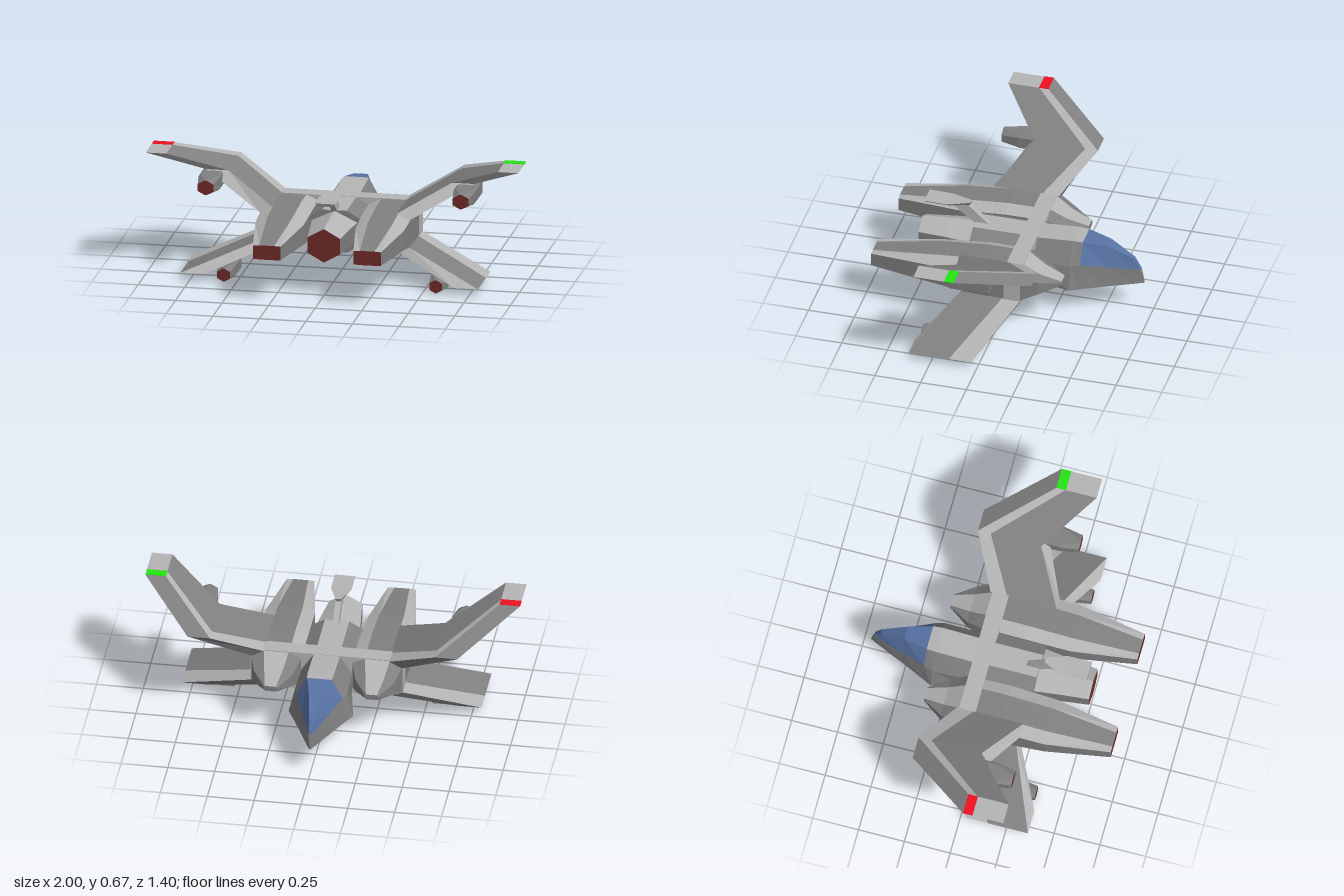
import * as THREE from 'three';

const mat = (color) => new THREE.MeshStandardMaterial({ color, flatShading: true, side: THREE.DoubleSide });
const dark = mat(0x808080), light = mat(0xb4b4b4), exhaust = mat(0x6e2a25), glass = mat(0x5872a4);
const lampRed = mat(0xee1122), lampGreen = mat(0x22e611);

// Closed faceted solid through rings of [x, y, z] points, wound outwards.
// The sides listed in trim are light panels; end is the material of the last cap.
function loft(name, rings, { base = dark, trim = [], end = base } = {}) {
  const n = rings[0].length, last = rings[rings.length - 1], panels = new Map();
  const add = (material, ...tris) => panels.set(material, [...(panels.get(material) ?? []), ...tris]);
  for (let r = 0; r + 1 < rings.length; r++) {
    for (let i = 0; i < n; i++) {
      const j = (i + 1) % n, a = rings[r], b = rings[r + 1];
      add(trim.includes(i) ? light : base, [a[i], a[j], b[j]], [a[i], b[j], b[i]]);
    }
  }
  for (let i = 1; i + 1 < n; i++) {
    add(base, [rings[0][0], rings[0][i + 1], rings[0][i]]);
    add(end, [last[0], last[i], last[i + 1]]);
  }
  let volume = 0;
  for (const tri of [...panels.values()].flat()) {
    const [a, b, c] = tri.map((p) => new THREE.Vector3(...p));
    volume += a.dot(b.cross(c));
  }
  const part = new THREE.Group();
  part.name = name;
  for (const [material, tris] of panels) {
    const pos = tris.flatMap(([a, b, c]) => (volume < 0 ? [a, c, b] : [a, b, c])).flat();
    const geo = new THREE.BufferGeometry();
    geo.setAttribute('position', new THREE.Float32BufferAttribute(pos, 3));
    geo.computeVertexNormals();
    const mesh = new THREE.Mesh(geo, material);
    mesh.name = name + (material === light ? 'Trim' : material === exhaust ? 'Exhaust' : 'Panels');
    part.add(mesh);
  }
  return part;
}

// Eight-sided section: half width, half flat width, bottom, top, chamfer height
const octagon = (cx, z, w, f, y0, y1, c) => [
  [cx - f, y1, z], [cx + f, y1, z], [cx + w, y1 - c, z], [cx + w, y0 + c, z],
  [cx + f, y0, z], [cx - f, y0, z], [cx - w, y0 + c, z], [cx - w, y1 - c, z],
];
// Hexagon with a point at top and bottom
const hexagon = (z, w, y0, y1) => {
  const q = (y1 - y0) * 0.27;
  return [[0, y1, z], [w, y1 - q, z], [w, y0 + q, z], [0, y0, z], [-w, y0 + q, z], [-w, y1 - q, z]];
};
// Four-sided section symmetric about x = 0
const trapezoid = (z, wTop, yTop, wLow, yLow) =>
  [[-wTop, yTop, z], [wTop, yTop, z], [wLow, yLow, z], [-wLow, yLow, z]];
// Horizontal rectangle
const slab = (x0, x1, z0, z1, y) => [[x0, y, z0], [x1, y, z0], [x1, y, z1], [x0, y, z1]];
// Wing slice with a strip of width w behind the leading edge
const slice = (s, x0, x1, z0, z1, w, y0, y1 = y0) => [
  [s * x0, y0, z0], [s * x1, y1, z0], [s * x1, y1, z0 + w],
  [s * x1, y1, z1], [s * x0, y0, z1], [s * x0, y0, z0 + w]];

export function createModel() {
  const model = new THREE.Group();

  // Nose stations: z, top half width, top y, middle half width, middle y, bottom half width, bottom y
  const nose = [
    [-0.13, 0.07, 0.39, 0.135, 0.29, 0.135, 0.165],
    [-0.33, 0.07, 0.402, 0.14, 0.285, 0.172, 0.152],
    [-0.38, 0.066, 0.4, 0.125, 0.292, 0.148, 0.154],
    [-0.51, 0.036, 0.38, 0.075, 0.272, 0.088, 0.157],
    [-0.645, 0.012, 0.307, 0.026, 0.25, 0.03, 0.16],
    [-0.68, 0.006, 0.252, 0.012, 0.246, 0.014, 0.161],
  ];
  const upper = nose.map(([z, wt, yt, wm, ym]) => trapezoid(z, wt, yt, wm, ym));
  const lower = nose.map(([z, , , wm, ym, wb, yb]) => trapezoid(z, wm, ym, wb, yb));
  lower.push(trapezoid(-0.7, 0.002, 0.17, 0.003, 0.16));
  model.add(loft('noseDeck', upper.slice(0, 3), { trim: [0] }));
  model.add(loft('canopy', upper.slice(2), { base: glass }));
  model.add(loft('noseHull', lower));

  // Central body, light band around the hull, middle engine
  model.add(loft('centreBody', [-0.1, 0.22].map((z) =>
    octagon(0, z, 0.135, 0.065, 0.16, 0.39, 0.04)), { trim: [0] }));
  model.add(loft('hullBand', [-0.13, -0.04].map((z) =>
    octagon(0, z, 0.406, 0.336, 0.17, 0.392, 0.03)), { base: light }));
  model.add(loft('centreEngine', [
    hexagon(0.2, 0.125, 0.165, 0.388),
    hexagon(0.36, 0.105, 0.175, 0.383),
    hexagon(0.512, 0.088, 0.186, 0.37),
  ], { trim: [0, 5], end: exhaust }));

  // Swept mast with a tail plate
  model.add(loft('mast', [
    slab(-0.015, 0.015, 0.14, 0.22, 0.38), slab(-0.015, 0.015, 0.26, 0.36, 0.49)], { base: light }));
  const plate = [[0.25, 0.015, 0.49], [0.36, 0.055, 0.485], [0.49, 0.055, 0.487]];
  model.add(loft('tailPlate', plate.map(([z, w, y]) => trapezoid(z, w, y + 0.015, w * 0.7, y)), { trim: [0] }));

  for (const s of [1, -1]) {
    const side = new THREE.Group();
    side.name = s > 0 ? 'leftSide' : 'rightSide';
    model.add(side);

    // Engine pod: z, half width, flat half width, bottom, top, chamfer
    const pod = [
      [-0.1, 0.133, 0.068, 0.173, 0.389, 0.03],
      [0.1, 0.135, 0.068, 0.175, 0.39, 0.03],
      [0.35, 0.13, 0.066, 0.2, 0.368, 0.03],
      [0.7, 0.074, 0.04, 0.24, 0.318, 0.002],
    ];
    side.add(loft('enginePod', pod.map((p) => octagon(s * 0.27, ...p)), { trim: [1, 7], end: exhaust }));
    // Tapered fairing ahead of the pod
    const fairing = [
      [-0.33, 0.036, 0.03, 0.265, 0.295, 0.008],
      [-0.22, 0.105, 0.05, 0.222, 0.333, 0.02],
      [-0.13, 0.133, 0.066, 0.175, 0.387, 0.03],
    ];
    side.add(loft('podFairing', fairing.map((p) => octagon(s * 0.27, ...p)), { trim: [0] }));

    // Cranked upper wing with a light leading strip, and its tip lamp
    side.add(loft('upperWing', [
      slice(s, 0.335, 0.4, -0.14, 0.22, 0.09, 0.39, 0.355),
      slice(s, 0.6, 0.72, -0.28, 0.065, 0.07, 0.53),
      slice(s, 0.89, 1.0, 0.07, 0.29, 0.05, 0.67),
    ], { trim: [3, 5], end: light }));
    side.add(loft('wingTipLamp', [0.668, 0.672].map((y) => slab(s * 0.89, s * 1.0, 0.07, 0.122, y)),
      { base: s > 0 ? lampGreen : lampRed }));

    // Swept lower wing
    side.add(loft('lowerWing', [
      slice(s, 0.335, 0.4, -0.13, 0.2, 0.1, 0.176, 0.2),
      slice(s, 0.67, 0.8, 0.03, 0.37, 0.12, 0.043),
    ], { trim: [1, 3] }));

    // Guns at the wings: x, y centre, front z, back z, front and back half widths, half height
    for (const [name, x, y, z0, z1, a, b, h] of [
      ['upperGun', 0.685, 0.485, -0.05, 0.26, 0.058, 0.042, 0.04],
      ['lowerGun', 0.57, 0.04, 0.095, 0.355, 0.046, 0.034, 0.036],
    ]) {
      side.add(loft(name, [
        octagon(s * x, z0, a, a * 0.85, y - h, y + h, 0.008),
        octagon(s * x, z1 - 0.1, a, a * 0.8, y - h, y + h, 0.01),
        octagon(s * x, z1, b, b * 0.1, y - h, y + h, h * 0.5),
      ], { end: exhaust }));
    }
  }
  return model;
}
